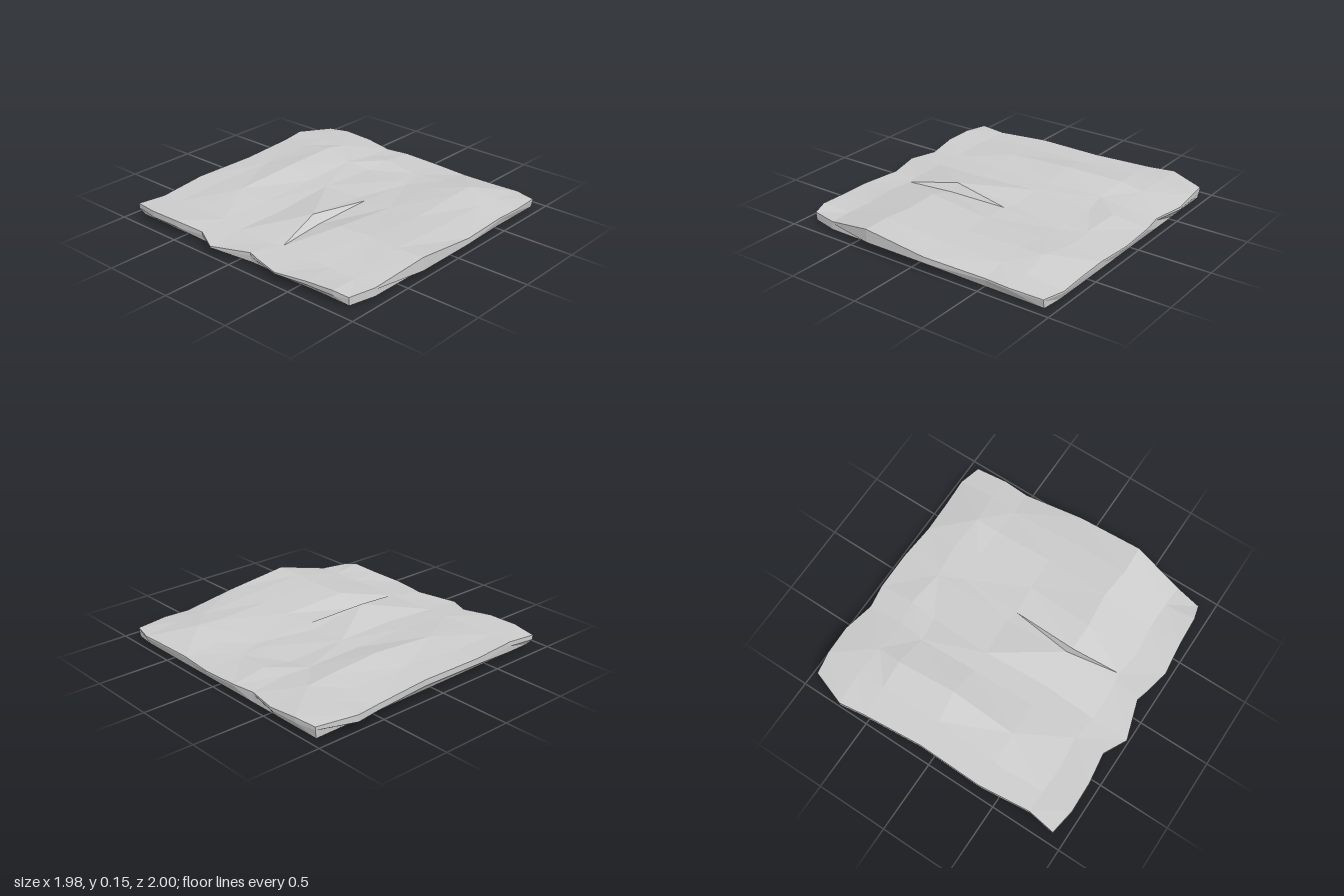
import * as THREE from 'three';

// Grid lines of the rocky top, back to front and left to right
const COLS = [-0.93, -0.72, -0.36, 0.1, 0.52, 0.7, 0.96];
const ROWS = [-0.93, -0.76, -0.55, -0.33, -0.17, 0.1, 0.17, 0.36, 0.59, 0.79, 0.95];

// Uneven outline of the slab on its four sides
const WEST = [-0.915, -0.945, -0.94, -0.91, -0.99, -0.905, -0.925, -0.965, -0.94, -0.93, -0.905];
const EAST = [0.95, 0.975, 0.985, 0.94, 0.965, 0.97, 0.965, 0.95, 0.955, 0.965, 0.925];
const BACK = [-0.94, -0.91, -0.95, -0.94, -0.975, -1, -0.91];
const FRONT = [0.89, 0.93, 1, 1, 0.95, 0.96, 0.94];

// Heights of the top, one line per row
const HEIGHTS = [
  [0.09, 0.09, 0.10, 0.10, 0.10, 0.105, 0.08],
  [0.10, 0.09, 0.10, 0.11, 0.115, 0.11, 0.09],
  [0.10, 0.09, 0.12, 0.148, 0.14, 0.115, 0.075],
  [0.08, 0.09, 0.10, 0.10, 0.10, 0.09, 0.07],
  [0.065, 0.08, 0.09, 0.10, 0.08, 0.10, 0.07],
  [0.08, 0.08, 0.14, 0.09, 0.085, 0.08, 0.06],
  [0.075, 0.08, 0.09, 0.10, 0.08, 0.08, 0.06],
  [0.065, 0.075, 0.14, 0.11, 0.10, 0.09, 0.06],
  [0.08, 0.075, 0.145, 0.12, 0.12, 0.125, 0.06],
  [0.09, 0.075, 0.145, 0.12, 0.10, 0.09, 0.06],
  [0.07, 0.07, 0.15, 0.10, 0.07, 0.07, 0.06],
];

const lastCol = COLS.length - 1;
const lastRow = ROWS.length - 1;

function topPoint(r, c) {
  const inside = r > 0 && r < lastRow && c > 0 && c < lastCol;
  const x = c === 0 ? WEST[r] : c === lastCol ? EAST[r] : COLS[c] + (inside ? 0.015 * Math.sin(r * 2.3 + c) : 0);
  const z = r === 0 ? BACK[c] : r === lastRow ? FRONT[c] : ROWS[r] + (inside ? 0.015 * Math.sin(r + c * 2.1) : 0);
  return new THREE.Vector3(x, HEIGHTS[r][c], z);
}

// Flat-shaded mesh from a list of triangle corners
function facetMesh(name, points, material) {
  const geometry = new THREE.BufferGeometry().setFromPoints(points);
  geometry.computeVertexNormals();
  const mesh = new THREE.Mesh(geometry, material);
  mesh.name = name;
  return mesh;
}

export function createModel() {
  const group = new THREE.Group();
  group.name = 'rockyGroundTile';
  const material = new THREE.MeshStandardMaterial({
    color: 0xcccccc, flatShading: true, side: THREE.DoubleSide,
  });

  // Faceted upper surface
  const top = [];
  for (let r = 0; r < lastRow; r++) {
    for (let c = 0; c < lastCol; c++) {
      const a = topPoint(r, c), b = topPoint(r, c + 1);
      const d = topPoint(r + 1, c), e = topPoint(r + 1, c + 1);
      if ((r + c) % 3) top.push(a, d, e, a, e, b);
      else top.push(a, d, b, b, d, e);
    }
  }
  group.add(facetMesh('topSurface', top, material));

  // Outline, counter-clockwise from above
  const rim = [];
  for (let r = 0; r < lastRow; r++) rim.push(topPoint(r, 0));
  for (let c = 0; c < lastCol; c++) rim.push(topPoint(lastRow, c));
  for (let r = lastRow; r > 0; r--) rim.push(topPoint(r, lastCol));
  for (let c = lastCol; c > 0; c--) rim.push(topPoint(0, c));

  // Rim drops to a lip, then tapers in to a straight-edged base
  const lip = rim.map(p => new THREE.Vector3(p.x, Math.min(0.058, p.y - 0.01), p.z));
  const base = rim.map(p => {
    const x = THREE.MathUtils.clamp(p.x, -0.9, 0.94);
    const z = THREE.MathUtils.clamp(p.z, -0.905, 0.93);
    return new THREE.Vector3(x, 0.008 * (0.94 - x), z);
  });
  const sides = [];
  const bottom = [];
  const middle = new THREE.Vector3(0, 0.0075, 0);
  for (let i = 0; i < rim.length; i++) {
    const j = (i + 1) % rim.length;
    for (const [hi, lo] of [[rim, lip], [lip, base]]) {
      sides.push(hi[i], lo[i], lo[j], hi[i], lo[j], hi[j]);
    }
    bottom.push(middle, base[j], base[i]);
  }
  group.add(facetMesh('sideWall', sides, material));
  group.add(facetMesh('bottomFace', bottom, material));
  return group;
}
